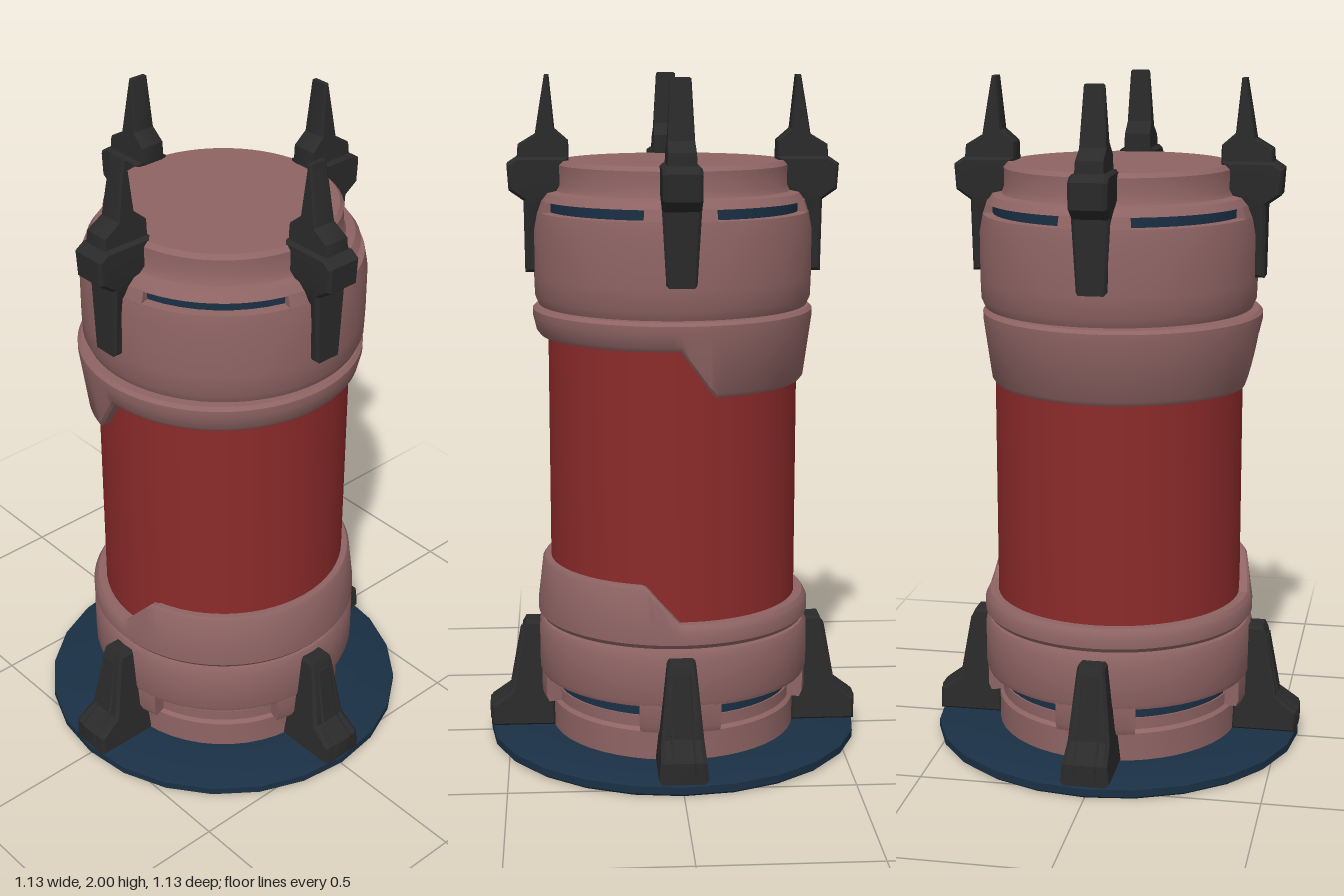
import * as THREE from 'three';
import { mergeGeometries, toCreasedNormals } from 'three/addons/utils/BufferGeometryUtils.js';

const mat = (color, side = THREE.FrontSide) => new THREE.MeshStandardMaterial({ color, side });
const V = ([x, y]) => new THREE.Vector2(x, y);
const rad = THREE.MathUtils.degToRad;

export function createModel() {
  const model = new THREE.Group();
  const pink = mat(0x8f6464, THREE.DoubleSide);
  const red = mat(0x8c2a2a);
  const navy = mat(0x1a3045);
  const black = mat(0x2a2a2a);

  const add = (name, geometry, material, parent = model) => {
    const mesh = new THREE.Mesh(toCreasedNormals(geometry, 0.6), material);
    mesh.name = name;
    parent.add(mesh);
    return mesh;
  };
  const lathe = (pts, segments = 48, start = 0, length = Math.PI * 2) =>
    new THREE.LatheGeometry(pts.map(V), segments, start, length);

  // Closed (radius, y) outline swept through part of a turn, with end walls
  const arcSolid = (pts, from, to) => {
    const a = rad(from), b = rad(to);
    const wall = (phi) => new THREE.ShapeGeometry(new THREE.Shape(pts.map(V))).rotateY(phi - Math.PI / 2);
    return mergeGeometries([lathe([...pts, pts[0]], 8, a, b - a), wall(a), wall(b)]);
  };

  // Fin outline in (radius, y), with half-width following a rule of height
  const fin = (pts, halfWidth, bevel = 0.008) => {
    const g = new THREE.ExtrudeGeometry(new THREE.Shape(pts.map(V)), {
      depth: 2 - 2 * bevel, bevelEnabled: true, bevelThickness: 0.2, bevelSize: bevel,
      bevelOffset: -bevel, bevelSegments: 1,
    });
    g.computeBoundingBox();
    const { min, max } = g.boundingBox;
    const p = g.attributes.position;
    for (let i = 0; i < p.count; i++) {
      const side = (2 * (p.getZ(i) - min.z)) / (max.z - min.z) - 1;
      p.setZ(i, side * halfWidth(p.getY(i)));
    }
    return g;
  };

  // Band whose lower or upper edge drops around the back half
  const steppedBand = (pts, moves, zStart, drop, taper) => {
    const g = lathe(pts, 120);
    const p = g.attributes.position;
    for (let i = 0; i < p.count; i++) {
      if (!moves(p.getY(i))) continue;
      const t = THREE.MathUtils.clamp((zStart - p.getZ(i)) / 0.1, 0, 1);
      const s = 1 - taper * t;
      p.setXYZ(i, p.getX(i) * s, p.getY(i) - drop * t, p.getZ(i) * s);
    }
    return g;
  };

  // Base disc with an open middle, and the floor inside it
  add('baseDisc', lathe([[0.34, 0], [0.55, 0], [0.56, 0.008], [0.56, 0.03], [0.55, 0.036], [0.34, 0.036], [0.34, 0]], 24), navy);
  add('baseFoot', lathe([[0, 0.015], [0.345, 0.015], [0.37, 0.035], [0.37, 0.12], [0.36, 0.13], [0.36, 0.165], [0.34, 0.165]]), pink);

  // Lower collar, carried on pillars between four vents
  add('lowerCollar', lathe([[0.34, 0.21], [0.405, 0.21], [0.41, 0.225], [0.41, 0.355], [0.4, 0.375], [0.36, 0.38]]), pink);
  add('lowerVentCore', lathe([[0.355, 0.16], [0.355, 0.215]]), navy);

  // Main cylinder
  add('mainCylinder', lathe([[0.37, 0.37], [0.37, 1.32]], 64), red);

  // Stepped bands at each end of the cylinder
  add('lowerBand', steppedBand(
    [[0.36, 0.385], [0.4, 0.385], [0.41, 0.398], [0.41, 0.43], [0.395, 0.555], [0.388, 0.565], [0.36, 0.565]],
    (y) => y > 0.5, 0.1, 0.11, -0.02), pink);
  add('upperBand', steppedBand(
    [[0.36, 1.245], [0.395, 1.245], [0.405, 1.258], [0.415, 1.3], [0.415, 1.32], [0.405, 1.33], [0.36, 1.33]],
    (y) => y < 1.28, 0, 0.135, 0.035), pink).position.x = -0.012;

  // Head with a vent groove around its shoulder
  add('head', lathe([
    [0.36, 1.333], [0.397, 1.335], [0.408, 1.36], [0.41, 1.42], [0.41, 1.555], [0.4, 1.608], [0.368, 1.61],
    [0.368, 1.638], [0.388, 1.64], [0.372, 1.662], [0.345, 1.668], [0.337, 1.685], [0.337, 1.742], [0.325, 1.755], [0, 1.755],
  ], 64), pink);
  add('headVentCore', lathe([[0.371, 1.609], [0.371, 1.639]]), navy);

  const lowerFin = [[0.36, 0.036], [0.558, 0.036], [0.558, 0.1], [0.495, 0.145], [0.46, 0.34], [0.45, 0.36], [0.38, 0.36]];
  const lowerRib = [[0.5, 0.05], [0.563, 0.05], [0.563, 0.102], [0.5, 0.15], [0.467, 0.33], [0.43, 0.33]];
  const clamp = [
    [0.305, 1.765], [0.455, 1.765], [0.485, 1.745], [0.48, 1.67], [0.437, 1.64],
    [0.435, 1.43], [0.402, 1.43], [0.395, 1.6], [0.325, 1.68],
  ];
  const spire = [
    [0.305, 1.74], [0.305, 1.81], [0.345, 1.845], [0.36, 2], [0.373, 2],
    [0.387, 1.92], [0.402, 1.83], [0.452, 1.8], [0.457, 1.74],
  ];
  const lerp = THREE.MathUtils.mapLinear;

  for (let k = 0; k < 4; k++) {
    const mid = k * 90;
    // Solid parts between the vents
    add('lowerPillar', arcSolid([[0.34, 0.13], [0.398, 0.13], [0.406, 0.15], [0.406, 0.215], [0.34, 0.215]], mid - 17, mid + 17), pink);
    add('shoulderBlock', arcSolid([[0.36, 1.605], [0.4, 1.605], [0.388, 1.642], [0.36, 1.645]], mid - 15, mid + 15), pink);

    // Foot fin and prong on each quarter
    const quarter = new THREE.Group();
    quarter.name = 'finSet';
    quarter.rotation.y = rad(mid);
    add('footFin', fin(lowerFin, (y) => lerp(y, 0.036, 0.36, 0.072, 0.04)), black, quarter);
    add('footRib', fin(lowerRib, (y) => lerp(y, 0.05, 0.33, 0.036, 0.026), 0.004), black, quarter);
    add('prongClamp', fin(clamp, (y) => (y > 1.62 ? 0.055 : 0.043)), black, quarter);
    add('prongSpire', fin(spire, (y) => lerp(y, 1.74, 2, 0.042, 0.029), 0.004), black, quarter);
    model.add(quarter);
  }
  return model;
}
